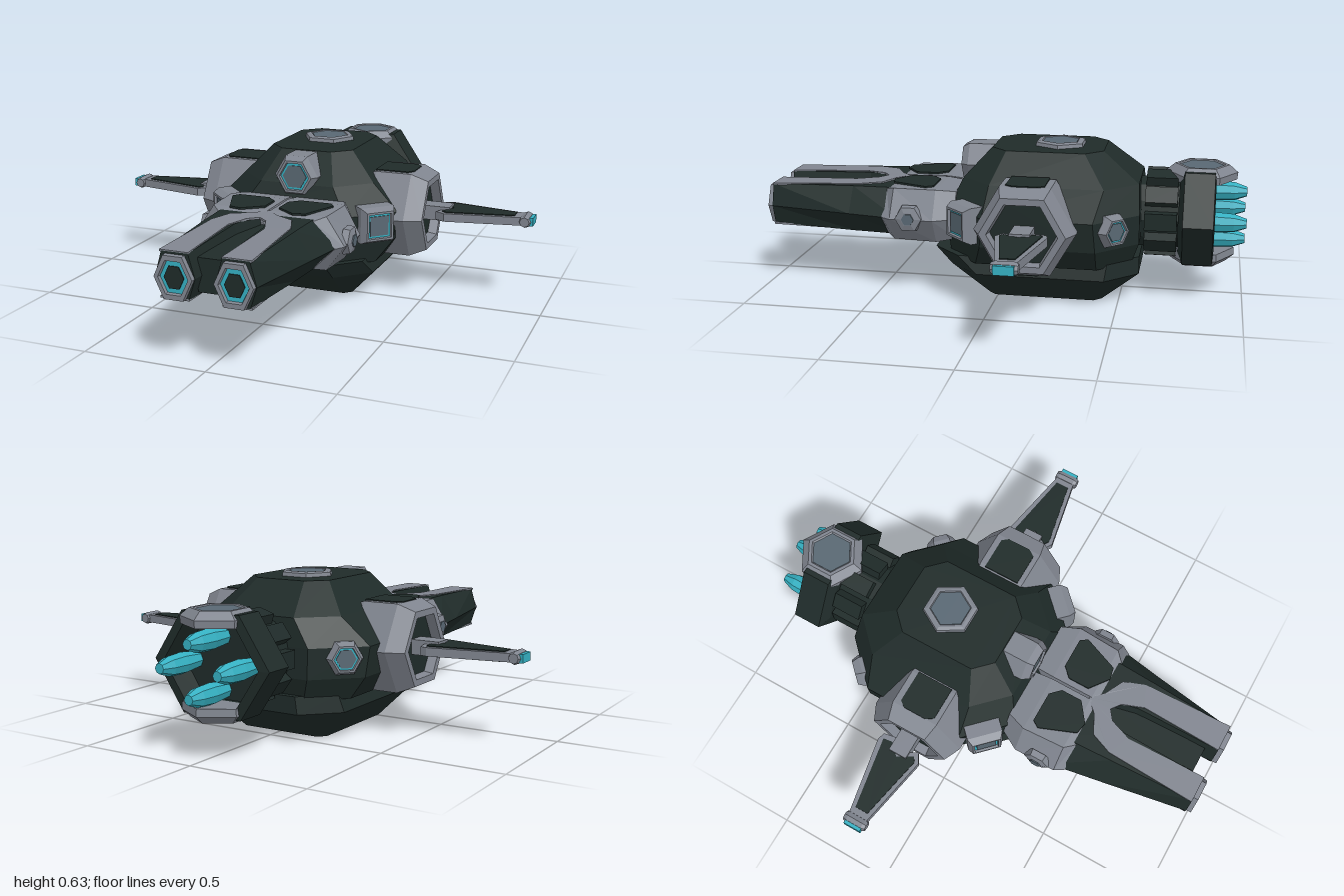
import * as THREE from 'three';

const mat = (name, color) => {
  const m = new THREE.MeshStandardMaterial({ color, flatShading: true });
  m.name = name;
  return m;
};

// Skin a list of rings (counter-clockwise seen from +z, ordered along +z)
function loft(rings, capStart = true) {
  const pos = [], n = rings[0].length, last = rings.length - 1;
  const tri = (a, b, c) => pos.push(...a, ...b, ...c);
  for (let i = 0; i < last; i++) {
    for (let j = 0; j < n; j++) {
      const k = (j + 1) % n, A = rings[i], B = rings[i + 1];
      tri(A[j], A[k], B[k]);
      tri(A[j], B[k], B[j]);
    }
  }
  for (let j = 1; j < n - 1; j++) {
    tri(rings[last][0], rings[last][j], rings[last][j + 1]);
    if (capStart) tri(rings[0][0], rings[0][j + 1], rings[0][j]);
  }
  const g = new THREE.BufferGeometry();
  g.setAttribute('position', new THREE.Float32BufferAttribute(pos, 3));
  g.computeVertexNormals();
  return g;
}

// Many-sided prism along +z; profile entries are [z, rx, ry]
function prism(profile, n = 6, phase = 0) {
  return loft(profile.map(([z, rx, ry = rx]) => Array.from({ length: n }, (_, j) => {
    const a = phase + (j / n) * Math.PI * 2;
    return [Math.cos(a) * rx, Math.sin(a) * ry, z];
  })));
}

// Thin plate from an x/z outline whose upper face lies at yAt(z)
function plate(points, yAt, t = 0.008) {
  const shape = new THREE.Shape(points.map(([x, z]) => new THREE.Vector2(x, z)));
  const g = new THREE.ExtrudeGeometry(shape, { depth: t, bevelEnabled: false }).rotateX(Math.PI / 2).toNonIndexed();
  const p = g.attributes.position;
  for (let i = 0; i < p.count; i++) p.setY(i, p.getY(i) + yAt(p.getZ(i)));
  g.computeVertexNormals();
  return g;
}

// Mirrored copy across a plane, with the corner order turned round
function mirror(geo, axis, centre = 0) {
  const g = geo.index ? geo.toNonIndexed() : geo.clone();
  const p = g.attributes.position, v = [];
  for (let i = 0; i < p.count; i += 3) {
    for (const k of [0, 2, 1]) {
      const c = [p.getX(i + k), p.getY(i + k), p.getZ(i + k)];
      c[axis] = 2 * centre - c[axis];
      v.push(...c);
    }
  }
  const out = new THREE.BufferGeometry();
  out.setAttribute('position', new THREE.Float32BufferAttribute(v, 3));
  out.computeVertexNormals();
  return out;
}

export function createModel() {
  const root = new THREE.Group();
  root.name = 'spaceship';
  const dark = mat('dark hull', 0x1f2b29);
  const grey = mat('grey armour', 0x80858f);
  const glass = mat('blue grey panel', 0x596873);
  const cyan = mat('cyan glow', 0x35b0c2);
  const HALF = Math.PI / 2, MID = 0.34;

  const add = (name, geo, material) => {
    const m = new THREE.Mesh(geo, material);
    m.name = name;
    root.add(m);
  };
  const pair = (name, geo, material) => {
    add(name + 'Left', geo, material);
    add(name + 'Right', mirror(geo, 0), material);
  };
  const quad = (name, geo, material) => {
    pair(name + 'Top', geo, material);
    pair(name + 'Bottom', mirror(geo, 1, MID), material);
  };

  // Hull and keel: chamfered rings stacked upwards [y, halfWidth, zFront, zBack, chamfer]
  const stack = (levels) => loft(levels.map(([y, w, f, b, c]) => [
    [w, -f + c, y], [w, -b - c, y], [w - c, -b, y], [c - w, -b, y],
    [-w, -b - c, y], [-w, -f + c, y], [c - w, -f, y], [w - c, -f, y]])).rotateX(-HALF);
  add('keel', stack([[0, 0.2, 0.04, -0.43, 0.03], [0.12, 0.31, 0.2, -0.58, 0.13], [0.19, 0.29, 0.27, -0.58, 0.12]]), dark);
  add('hull', stack([[0.17, 0.32, 0.2, -0.55, 0.13], [0.26, 0.385, 0.2, -0.58, 0.16], [0.38, 0.4, 0.2, -0.58, 0.17],
    [0.49, 0.29, 0.15, -0.57, 0.13], [0.61, 0.18, 0.04, -0.42, 0.07]]), dark);

  // Roof hatch
  add('roofHatch', prism([[0.6, 0.115], [0.625, 0.11], [0.63, 0.095], [0.63, 0.085], [0.622, 0.08]]).rotateX(-HALF).translate(0, 0, -0.23), grey);
  add('roofHatchPanel', prism([[0.61, 0.081], [0.627, 0.081]]).rotateX(-HALF).translate(0, 0, -0.23), glass);

  // Round ports: grey rim, cyan ring, blue-grey centre, looking along +z
  const port = (r, depth, n, phase) => [
    [prism([[-depth, r], [-0.03, r], [0, r * 0.8], [0, r * 0.68], [-0.03, r * 0.62]], n, phase), grey],
    [prism([[-0.04, r * 0.66], [-0.012, r * 0.66]], n, phase), cyan],
    [prism([[-0.04, r * 0.55], [-0.008, r * 0.55]], n, phase), glass]];
  const parts = ['Rim', 'Ring', 'Lens'];
  port(0.095, 0.17, 6, 0).forEach(([g, m], i) => add('noseSensor' + parts[i], g.translate(0, 0.525, 0.18), m));
  port(0.105, 0.1, 4, Math.PI / 4).forEach(([g, m], i) =>
    pair('frontPort' + parts[i], g.rotateY(Math.PI / 4).translate(0.365, MID + 0.005, 0.145), m));
  port(0.072, 0.08, 6, 0).forEach(([g, m], i) =>
    pair('rearPort' + parts[i], g.rotateY(Math.PI * 0.75).translate(0.355, MID, -0.505), m));

  // Side pods: recessed hexagons facing outwards
  const pod = (profile) => prism(profile).rotateY(HALF).translate(0, 0.348, -0.15);
  pair('podShell', pod([[0.24, 0.19], [0.28, 0.203], [0.43, 0.203], [0.5, 0.17], [0.5, 0.14], [0.45, 0.13]]), grey);
  pair('podCore', pod([[0.4, 0.137], [0.462, 0.137]]), dark);
  const podPanel = plate([[0.27, -0.225], [0.41, -0.225], [0.43, -0.2], [0.43, -0.1], [0.41, -0.07], [0.27, -0.07]], () => 0.528);
  pair('podPanelTop', podPanel, dark);
  pair('podPanelBottom', mirror(podPanel, 1, 0.348), dark);

  // Wings: grey blade with dark faces and a glowing tip
  pair('wingStem', new THREE.BoxGeometry(0.14, 0.06, 0.08).translate(0.51, 0.35, -0.155), grey);
  pair('wingBlade', plate([[0.53, -0.25], [0.56, -0.26], [0.88, -0.2], [0.88, -0.12], [0.57, -0.06], [0.53, -0.085], [0.57, -0.155], [0.52, -0.2]],
    () => 0.367, 0.034), grey);
  const wingFace = plate([[0.55, -0.24], [0.85, -0.188], [0.85, -0.132], [0.575, -0.077], [0.555, -0.09], [0.59, -0.155], [0.545, -0.2]], () => 0.371, 0.006);
  pair('wingFaceTop', wingFace, dark);
  pair('wingFaceBottom', mirror(wingFace, 1, 0.35), dark);
  pair('wingTip', prism([[-0.05, 0.02], [-0.035, 0.026], [0.035, 0.026], [0.05, 0.02]], 8).translate(0.895, 0.35, -0.16), grey);
  pair('wingTipLight', new THREE.BoxGeometry(0.03, 0.034, 0.075).translate(0.913, 0.35, -0.16), cyan);

  // Twin guns: six-sided section [z, inner x, inner top x, outer top x, outer x, half height]
  const gun = (list) => loft(list.map(([z, a, b, c, d, h]) => [
    [d, MID - 0.005, z], [c, MID + h, z], [b, MID + h, z], [a, MID - 0.005, z], [b, MID - h, z], [c, MID - h, z]]));
  pair('gunShoulder', gun([[0.17, 0, 0.01, 0.22, 0.27, 0.1], [0.25, 0, 0.005, 0.25, 0.315, 0.11], [0.43, 0, 0.005, 0.24, 0.315, 0.108],
    [0.47, 0, 0.01, 0.2, 0.29, 0.095]]), grey);
  pair('gunBarrel', gun([[0.4, 0, 0.01, 0.2, 0.3, 0.1], [0.62, 0.03, 0.06, 0.19, 0.262, 0.097], [0.98, 0.04, 0.066, 0.172, 0.198, 0.086]]), dark);
  // Muzzle: hollow rim with a glowing throat
  pair('gunMuzzle', prism([[0.96, 0.078, 0.098], [1, 0.076, 0.094], [1, 0.06, 0.072], [0.982, 0.055, 0.066]]).translate(0.118, MID - 0.005, 0), grey);
  pair('gunThroat', prism([[0.97, 0.056, 0.067], [0.988, 0.056, 0.067]]).translate(0.118, MID - 0.005, 0), cyan);
  pair('gunBore', prism([[0.97, 0.04, 0.048], [0.992, 0.04, 0.048]]).translate(0.118, MID - 0.005, 0), dark);
  add('gunBridge', new THREE.BoxGeometry(0.11, 0.13, 0.5).translate(0, MID - 0.005, 0.68), dark);

  // Gun armour: forked grey strips, with dark panels in the shoulders
  const top = (z) => MID + 0.106 - Math.max(0, z - 0.46) * 0.03;
  quad('gunStrip', plate([[0, 0.42], [0.05, 0.47], [0.13, 0.51], [0.165, 0.6], [0.18, 0.98], [0.065, 0.98], [0.075, 0.64], [0.04, 0.55], [0, 0.52]], top), grey);
  quad('shoulderPanel', plate([[0.07, 0.27], [0.2, 0.27], [0.22, 0.3], [0.16, 0.45], [0.11, 0.46], [0.03, 0.4], [0.03, 0.31]],
    () => MID + 0.116), dark);
  pair('shoulderStud', prism([[0.29, 0.06], [0.318, 0.055], [0.325, 0.03]]).rotateY(HALF).translate(0, MID, 0.35), grey);
  pair('shoulderStudCentre', prism([[0.3, 0.026], [0.33, 0.026]]).rotateY(HALF).translate(0, MID, 0.35), glass);

  // Neck with ribs
  add('neck', prism([[-0.76, 0.15], [-0.55, 0.15]], 12).translate(0, MID, 0), dark);
  for (let i = 0; i < 10; i++) {
    const rib = new THREE.BoxGeometry(0.05, 0.07, 0.13).translate(0.158, 0, 0).rotateZ((i / 10) * Math.PI * 2);
    add('neckRib' + i, rib.translate(0, MID, -0.66), dark);
  }

  // Engine housing, open to the rear, with grey caps above and below
  add('engineHousing', prism([[0.73, 0.2, 0.17], [0.75, 0.26, 0.222], [0.87, 0.26, 0.222], [0.875, 0.215, 0.185], [0.79, 0.19, 0.165]])
    .rotateY(Math.PI).translate(0, MID + 0.005, 0), dark);
  const capSpin = Math.PI / 6;
  const cap = prism([[0.49, 0.142], [0.52, 0.145], [0.55, 0.11], [0.55, 0.095], [0.542, 0.085]], 6, capSpin).rotateX(-HALF).translate(0, 0, -0.815);
  const capPanel = prism([[0.53, 0.088], [0.546, 0.088]], 6, capSpin).rotateX(-HALF).translate(0, 0, -0.815);
  add('engineCapTop', cap, grey);
  add('engineCapBottom', mirror(cap, 1, MID + 0.005), grey);
  add('engineCapPanelTop', capPanel, glass);
  add('engineCapPanelBottom', mirror(capPanel, 1, MID + 0.005), glass);

  // Four glowing thrusters in a diamond
  [[0.13, 0], [-0.13, 0], [0, 0.1], [0, -0.1]].forEach(([x, y], i) =>
    add('thruster' + i, prism([[0.77, 0.03], [0.88, 0.042], [0.95, 0.038], [1, 0.02]], 8)
      .rotateY(Math.PI).translate(x, MID + y, 0), cyan));

  return root;
}
